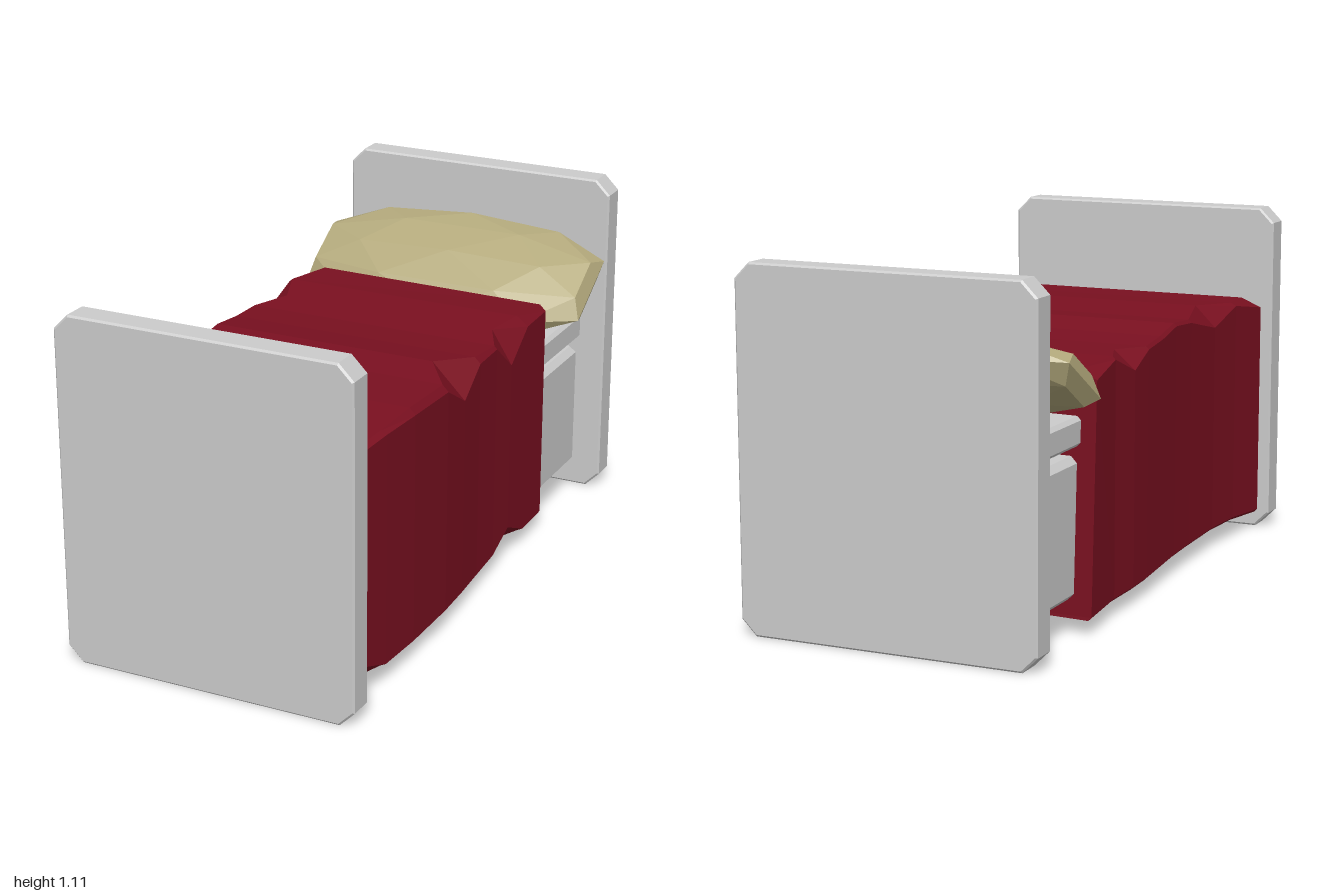
import * as THREE from 'three';

const grey = new THREE.MeshStandardMaterial({ color: 0xcccccc, flatShading: true });
const red = new THREE.MeshStandardMaterial({ color: 0x7a1020, flatShading: true, side: THREE.DoubleSide });
const tan = new THREE.MeshStandardMaterial({ color: 0xb3a97c, flatShading: true });

// Slab w x h with cut corners, depth d along z, bevelled by b, centred
function slab(w, h, d, cut, b) {
  const x = w / 2 - b, y = h / 2 - b;
  const shape = new THREE.Shape([
    [x - cut, -y], [x, -y + cut], [x, y - cut], [x - cut, y],
    [-x + cut, y], [-x, y - cut], [-x, -y + cut], [-x + cut, -y],
  ].map((p) => new THREE.Vector2(...p)));
  const geo = new THREE.ExtrudeGeometry(shape, {
    depth: d - 2 * b, bevelEnabled: true, bevelThickness: b, bevelSize: b, bevelSegments: 1,
  });
  return geo.translate(0, 0, -d / 2 + b);
}

function blanketGeometry() {
  // z, left x, right x, top y, bottom y, then corner folds [in, down]: top right, top left, bottom right
  const rows = [
    [0.91, -0.44, 0.43, 0.80, 0.05, [0.02, 0.01], [0.07, 0.03], [0.08, 0.09]],
    [0.72, -0.42, 0.445, 0.81, 0.06, [0.02, 0.01], [0.02, 0.01], [0.02, 0.01]],
    [0.55, -0.41, 0.455, 0.82, 0.06, [0.02, 0.02], [0.07, 0.07], [0.02, 0.01]],
    [0.32, -0.415, 0.455, 0.81, 0.058, [0.02, 0.02], [0.01, 0.01], [0.02, 0.01]],
    [0.18, -0.42, 0.447, 0.82, 0.056, [0.11, 0.11], [0.01, 0.01], [0.02, 0.01]],
    [0.04, -0.43, 0.435, 0.80, 0.053, [0.02, 0.02], [0.01, 0.01], [0.02, 0.01]],
    [-0.10, -0.44, 0.43, 0.79, 0.05, [0.01, 0.01], [0.01, 0.01], [0.02, 0.02]],
    [-0.22, -0.445, 0.43, 0.795, 0.05, [0.07, 0.11], [0.07, 0.06], [0.08, 0.07]],
    [-0.36, -0.44, 0.425, 0.80, 0.047, [0.04, 0.03], [0.01, 0.01], [0.02, 0.01]],
    [-0.52, -0.46, 0.42, 0.79, 0.045, [0.02, 0.02], [0.06, 0.03], [0.01, 0.01]],
  ];
  const pos = [], idx = [], n = 8;
  rows.forEach(([z, l, r, t, b, tr, tl, br], i) => {
    const ring = [
      [r - br[0], b], [r, b + br[1]], [r, t - tr[1]], [r - tr[0], t],
      [l + tl[0], t], [l, t - tl[1]], [l, b + 0.01], [l + 0.01, b],
    ];
    // The lower left corner trails towards the headboard
    const last = i === rows.length - 1;
    ring.forEach(([x, y]) => pos.push(x, y, last && x < 0 ? z - 0.06 * (1 - y * 0.8) : z));
  });
  for (let i = 0; i < rows.length - 1; i++) {
    for (let j = 0; j < n; j++) {
      const a = i * n + j, b = i * n + (j + 1) % n;
      idx.push(a, a + n, b, b, a + n, b + n);
    }
  }
  const e = (rows.length - 1) * n;
  for (let j = 1; j < n - 1; j++) idx.push(0, j, j + 1, e, e + j + 1, e + j);
  const geo = new THREE.BufferGeometry();
  geo.setAttribute('position', new THREE.Float32BufferAttribute(pos, 3));
  geo.setIndex(idx);
  geo.computeVertexNormals();
  return geo;
}

// Faceted ellipsoid with blunt ends and a fuller middle
function pillowGeometry() {
  const geo = new THREE.IcosahedronGeometry(1, 1);
  const p = geo.attributes.position;
  for (let i = 0; i < p.count; i++) {
    const x = Math.min(Math.abs(p.getX(i)) / 0.85, 1);
    p.setXYZ(i, Math.sign(p.getX(i)) * Math.pow(x, 0.85) * 0.5, p.getY(i) * 0.1, p.getZ(i) * 0.25);
  }
  geo.computeVertexNormals();
  return geo;
}

export function createModel() {
  const model = new THREE.Group();
  model.name = 'bed';
  const add = (name, geo, mat, x, y, z) => {
    const mesh = new THREE.Mesh(geo, mat);
    mesh.name = name;
    mesh.position.set(x, y, z);
    model.add(mesh);
    return mesh;
  };

  // End boards
  const board = slab(0.96, 1.11, 0.09, 0.045, 0.006);
  add('footboard', board, grey, 0, 0.555, 0.955);
  add('headboard', board, grey, 0, 0.555, -0.955);

  // Base and mattress, laid flat
  add('base', slab(0.8, 1.84, 0.43, 0.05, 0.02).rotateX(-Math.PI / 2), grey, 0, 0.315, 0);
  add('mattress', slab(0.82, 1.84, 0.09, 0.05, 0.012).rotateX(-Math.PI / 2), grey, 0, 0.605, 0);

  // Bedding
  add('blanket', blanketGeometry(), red, 0, 0, 0);
  add('pillow', pillowGeometry(), tan, 0, 0.79, -0.72).rotation.x = 0.56;
  return model;
}
